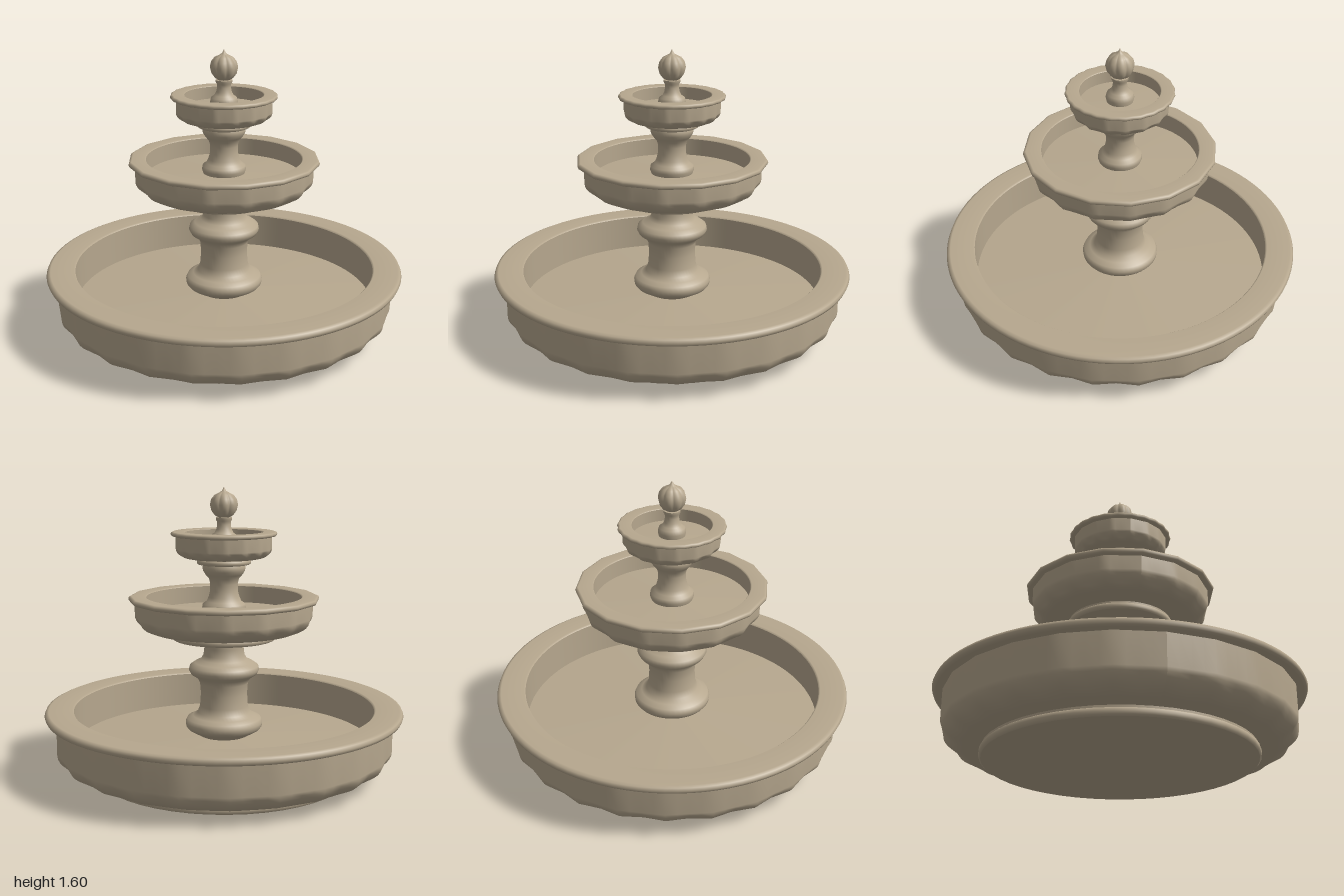
import * as THREE from 'three';

const stone = new THREE.MeshStandardMaterial({ color: 0xb6a78e });
stone.name = 'stone';

// Turned part from [radius, height, crease?] points; a crease repeats its point so the edge stays sharp
function turned(name, profile, segments = 48) {
  const points = [];
  for (const [r, y, crease] of profile) {
    points.push(new THREE.Vector2(r, y));
    if (crease) points.push(new THREE.Vector2(r, y));
  }
  const mesh = new THREE.Mesh(new THREE.LatheGeometry(points, segments), stone);
  mesh.name = name;
  return mesh;
}

// Scale each vertex around the axis by a rule of angle, radius and height
function reshape(mesh, rule) {
  const p = mesh.geometry.attributes.position;
  for (let i = 0; i < p.count; i++) {
    const x = p.getX(i), z = p.getZ(i);
    const k = rule(Math.atan2(x, z), Math.hypot(x, z), p.getY(i));
    p.setX(i, x * k);
    p.setZ(i, z * k);
  }
  return mesh;
}

// Polygonal outline with a corner facing the front
function polygonRule(sides, minRadius) {
  const step = 2 * Math.PI / sides;
  return (a, r) => {
    if (r < minRadius) return 1;
    const t = a - Math.floor(a / step) * step - step / 2;
    return Math.cos(step / 2) / Math.cos(t);
  };
}

// Scalloped outline
const scallopRule = (lobes, depth, minRadius) => (a, r) =>
  r < minRadius ? 1 : 1 - depth * (0.5 - 0.5 * Math.cos(a * lobes));

// Shallow flutes around the curved underside of a bowl
const fluteRule = (lobes, depth, y0, y1) => (a, r, y) =>
  y <= y0 || y >= y1 ? 1
    : 1 - depth * Math.sin(Math.PI * (y - y0) / (y1 - y0)) * (0.5 - 0.5 * Math.cos(a * lobes));

// Foot below a basin: a rounded bead with a narrower band on top
function foot(name, r, y0, y1) {
  const h = y1 - y0, b = h * 0.2;
  return turned(name, [
    [0, y0], [r - b, y0, 1], [r - b * 0.2, y0 + h * 0.12], [r, y0 + h * 0.36],
    [r - b * 0.2, y0 + h * 0.6], [r - b, y0 + h * 0.72, 1], [r - b, y1, 1], [0, y1],
  ]);
}

// Basin: rounded fluted bowl, overhanging lip, inner wall and floor
function basin(name, o) {
  const g = new THREE.Group();
  g.name = name;
  const w = o.round * 1.5;
  const curve = [];
  for (let i = 0; i <= 8; i++) {
    const a = i / 8 * Math.PI / 2;
    curve.push([o.r - w + w * Math.sin(a), o.bottom + o.round * (1 - Math.cos(a))]);
  }
  const bowl = turned(name + 'Bowl', [[0, o.bottom], ...curve, [o.r, o.lip]], 96);
  reshape(bowl, polygonRule(o.sides, o.r * 0.9));
  reshape(bowl, fluteRule(o.sides, o.flute, o.bottom, o.bottom + o.round));
  bowl.geometry.computeVertexNormals();

  const t = (o.top - o.lip) / 2, e = o.rim - t;
  const rim = turned(name + 'Rim', [
    [o.inner, o.lip, 1], [e, o.lip], [e + t * 0.7, o.lip + t * 0.3], [o.rim, o.lip + t],
    [e + t * 0.7, o.top - t * 0.3], [e, o.top], [o.inner + t * 0.4, o.top],
    [o.inner, o.top - t * 0.4, 1], [o.inner, o.floor, 1], [0, o.floor + o.rise],
  ], 96);
  if (o.outline) reshape(rim, o.outline);
  g.add(bowl, rim);
  return g;
}

export function createModel() {
  const model = new THREE.Group();
  model.name = 'tieredFountain';

  // Three basins with their feet
  model.add(
    basin('lowerBasin', {
      r: 0.945, rim: 1, inner: 0.84, bottom: 0.055, round: 0.11, lip: 0.335, top: 0.38,
      floor: 0.17, rise: 0.045, sides: 24, flute: 0.015,
    }),
    basin('middleBasin', {
      r: 0.495, rim: 0.53, inner: 0.43, bottom: 0.808, round: 0.085, lip: 0.972, top: 1.003,
      floor: 0.9, rise: 0.02, sides: 16, flute: 0.02, outline: polygonRule(16, 0.44),
    }),
    basin('upperBasin', {
      r: 0.265, rim: 0.293, inner: 0.215, bottom: 1.212, round: 0.05, lip: 1.333, top: 1.357,
      floor: 1.285, rise: 0.01, sides: 16, flute: 0.04, outline: scallopRule(24, 0.018, 0.235),
    }),
    foot('lowerFoot', 0.74, 0, 0.06),
    foot('middleFoot', 0.293, 0.763, 0.812),
    foot('upperFoot', 0.15, 1.178, 1.216),
  );

  // Lower column with a flared base and a swollen ring
  model.add(turned('lowerColumn', [
    [0.12, 0.2], [0.2, 0.245], [0.214, 0.262], [0.217, 0.285], [0.207, 0.308], [0.175, 0.323],
    [0.148, 0.342], [0.135, 0.38], [0.13, 0.45], [0.135, 0.51], [0.15, 0.54], [0.185, 0.562],
    [0.197, 0.585], [0.192, 0.608], [0.165, 0.628], [0.13, 0.645], [0.115, 0.67], [0.11, 0.71],
    [0.114, 0.77],
  ]));

  // Upper column with a flared base and a capital
  model.add(turned('upperColumn', [
    [0.113, 0.91], [0.122, 0.935], [0.118, 0.957], [0.097, 0.972], [0.086, 0.995],
    [0.077, 1.03], [0.076, 1.07], [0.084, 1.1], [0.102, 1.12], [0.116, 1.142],
    [0.119, 1.162], [0.112, 1.18],
  ]));

  // Neck that carries the finial
  model.add(turned('finialNeck', [
    [0.07, 1.285], [0.076, 1.315], [0.07, 1.338], [0.052, 1.35], [0.042, 1.37],
    [0.037, 1.395], [0.039, 1.412], [0.045, 1.422], [0.045, 1.434, 1], [0, 1.437],
  ], 32));

  // Ribbed bulb with a pointed tip
  const finial = reshape(turned('finial', [
    [0.025, 1.43], [0.05, 1.445], [0.069, 1.47], [0.077, 1.503], [0.07, 1.533],
    [0.052, 1.556], [0.028, 1.568], [0.012, 1.577], [0.001, 1.597],
  ], 80), (a, r, y) => (y > 1.57 ? 1 : 1 - 0.1 * (1 - Math.abs(Math.cos(a * 4)))));
  finial.geometry.computeVertexNormals();
  model.add(finial);

  return model;
}
